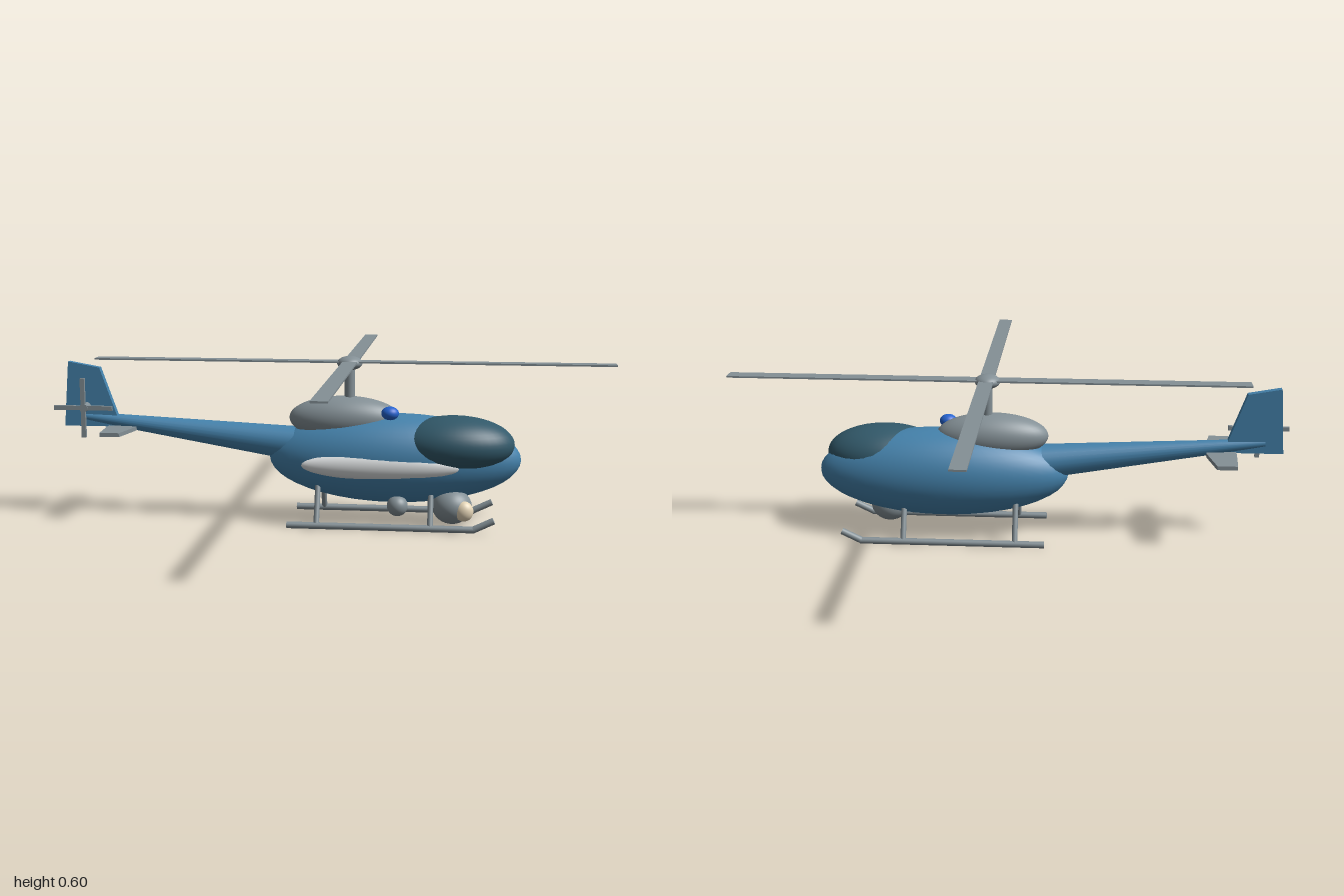
import * as THREE from 'three';

const mat = (name, color) => {
  const m = new THREE.MeshStandardMaterial({ color });
  m.name = name;
  return m;
};

export function createModel() {
  const blue = mat('hull blue', 0x4583ad);
  const teal = mat('canopy teal', 0x32596a);
  const grey = mat('metal grey', 0x849096);
  const white = mat('panel white', 0xdcdfe0);
  const cream = mat('lens cream', 0xe6d6b8);
  const bright = mat('beacon blue', 0x2563cf);

  const model = new THREE.Group();
  model.name = 'helicopter';

  const add = (name, geometry, material, pos = [0, 0, 0], parent = model) => {
    const mesh = new THREE.Mesh(geometry, material);
    mesh.name = name;
    mesh.position.set(...pos);
    parent.add(mesh);
    return mesh;
  };
  const ellipsoid = (name, material, pos, radii) =>
    add(name, new THREE.SphereGeometry(1, 40, 24).scale(...radii), material, pos);
  // tapered round bar from point a to point b
  const bar = (name, material, a, b, ra, rb = ra, parent = model) => {
    const from = new THREE.Vector3(...a), to = new THREE.Vector3(...b);
    const dir = to.clone().sub(from);
    const mesh = add(name, new THREE.CylinderGeometry(rb, ra, dir.length(), 24), material,
      from.clone().lerp(to, 0.5).toArray(), parent);
    mesh.quaternion.setFromUnitVectors(new THREE.Vector3(0, 1, 0), dir.normalize());
    return mesh;
  };
  // flat plate, centred on its thickness
  const plate = (points, depth) => new THREE.ExtrudeGeometry(
    new THREE.Shape(points.map(p => new THREE.Vector2(...p))),
    { depth, bevelEnabled: false }).translate(0, 0, -depth / 2);

  // Body
  ellipsoid('fuselage', blue, [0.23, 0.235, 0], [0.45, 0.16, 0.15]);
  ellipsoid('canopy', teal, [0.445, 0.295, 0.03], [0.21, 0.1, 0.133]);
  ellipsoid('sidePanel', white, [0.19, 0.224, 0.119], [0.28, 0.048, 0.037]);
  ellipsoid('engineCowl', grey, [0.053, 0.375, 0], [0.2, 0.08, 0.083]);
  ellipsoid('beacon', bright, [0.218, 0.405, 0.062], [0.031, 0.024, 0.028]);

  // Tail
  bar('tailBoom', blue, [-0.13, 0.28, 0], [-0.91, 0.366, 0], 0.062, 0.015);
  add('tailFin', plate([[-0.975, 0.33], [-0.765, 0.33], [-0.84, 0.545], [-0.955, 0.566]], 0.025), blue);
  const stabilizer = plate([[-0.81, -0.04], [-0.8, -0.165], [-0.73, -0.165], [-0.705, -0.04],
    [-0.705, 0.04], [-0.73, 0.165], [-0.8, 0.165], [-0.81, 0.04]], 0.014);
  add('stabilizer', stabilizer.rotateX(-Math.PI / 2), grey, [0, 0.327, 0]);

  // Main rotor
  bar('rotorMast', grey, [0.07, 0.42, 0], [0.07, 0.575, 0], 0.018);
  ellipsoid('rotorHub', grey, [0.07, 0.573, 0], [0.045, 0.025, 0.045]);
  const rotor = new THREE.Group();
  rotor.name = 'mainRotor';
  rotor.position.set(0.073, 0.578, 0);
  rotor.rotation.y = -0.005;
  model.add(rotor);
  for (const turn of [0, Math.PI / 2]) {
    add('rotorBlades', new THREE.BoxGeometry(1.85, 0.006, 0.052), grey, [0, 0, 0], rotor).rotation.y = turn;
  }

  // Tail rotor
  bar('tailRotorShaft', grey, [-0.89, 0.403, 0], [-0.89, 0.403, 0.058], 0.015);
  for (const size of [[0.215, 0.016, 0.012], [0.016, 0.215, 0.012]]) {
    add('tailRotorBlades', new THREE.BoxGeometry(...size), grey, [-0.8925, 0.403, 0.05]);
  }

  // Landing gear, one skid per side
  for (const side of [-1, 1]) {
    const gear = new THREE.Group();
    gear.name = side > 0 ? 'frontSkid' : 'backSkid';
    model.add(gear);
    const z = 0.138 * side;
    bar('skidTube', grey, [-0.14, 0.012, z], [0.52, 0.012, z], 0.012, 0.012, gear);
    bar('skidTip', grey, [0.515, 0.012, z], [0.585, 0.046, z], 0.012, 0.012, gear);
    for (const x of [-0.035, 0.365]) {
      bar('strut', grey, [x, 0.15, 0.075 * side], [x, 0.012, z], 0.01, 0.01, gear);
    }
  }

  // Sensors under the nose
  ellipsoid('sensorTurret', grey, [0.44, 0.077, 0.066], [0.07, 0.062, 0.066]);
  ellipsoid('searchlightLens', cream, [0.481, 0.07, 0.108], [0.034, 0.036, 0.028]);
  ellipsoid('antennaBall', grey, [0.248, 0.08, 0.09], [0.037, 0.037, 0.037]);

  return model;
}
